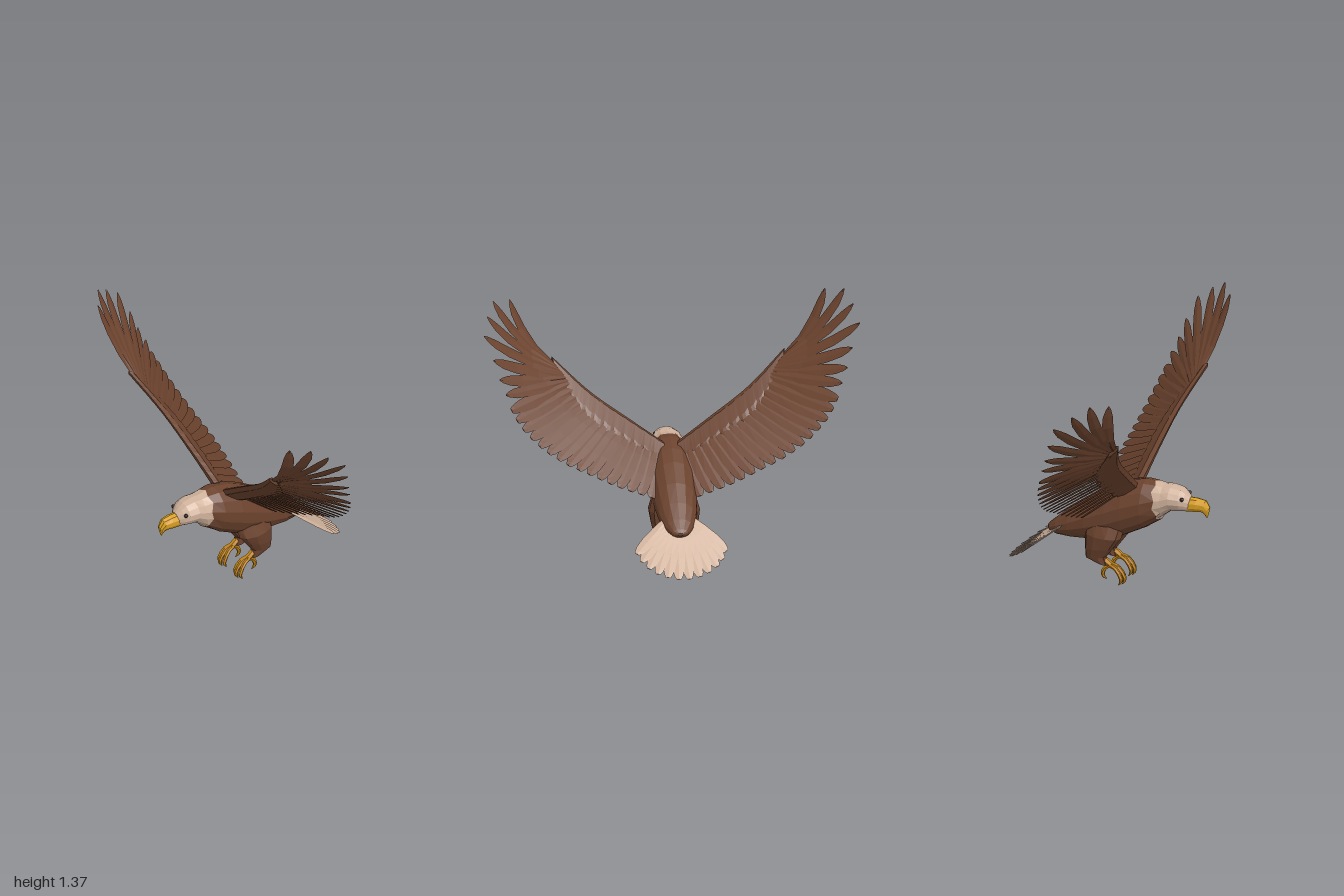
import * as THREE from 'three';
import { mergeGeometries } from 'three/addons/utils/BufferGeometryUtils.js';

const V = (x, y, z) => new THREE.Vector3(x, y, z);
const paint = (name, color) => Object.assign(new THREE.MeshStandardMaterial({ color }), { name });
const curve = (pts, side = 1) => new THREE.CatmullRomCurve3(pts.map(p => V(p[0] * side, p[1], p[2])));

// Closed, flat-faced skin through a row of rings; faces always end up pointing outward
function loft(rings) {
  const tris = [], n = rings[0].length;
  const cap = r => r.reduce((s, p) => s.add(p), V(0, 0, 0)).divideScalar(n);
  const first = rings[0], last = rings[rings.length - 1], c0 = cap(first), c1 = cap(last);
  for (let i = 0; i < n; i++) {
    const j = (i + 1) % n;
    for (let k = 0; k + 1 < rings.length; k++) {
      const a = rings[k], b = rings[k + 1];
      tris.push([a[i], a[j], b[j]], [a[i], b[j], b[i]]);
    }
    tris.push([c0, first[j], first[i]], [c1, last[i], last[j]]);
  }
  let volume = 0;
  for (const [a, b, c] of tris) volume += a.clone().sub(c0).dot(b.clone().sub(c0).cross(c.clone().sub(c0)));
  const pos = [];
  for (const [a, b, c] of tris) for (const p of volume < 0 ? [a, c, b] : [a, b, c]) pos.push(p.x, p.y, p.z);
  const g = new THREE.BufferGeometry();
  g.setAttribute('position', new THREE.Float32BufferAttribute(pos, 3));
  g.computeVertexNormals();
  return g;
}

// Elliptical ring between two points of the z-y plane, with half width w
function ring(z1, y1, z2, y2, w, cx = 0, n = 14, jag = 0) {
  return Array.from({ length: n }, (_, i) => {
    const a = i / n * Math.PI * 2, t = (1 - Math.cos(a)) / 2;
    return V(cx + Math.sin(a) * w, y1 + (y2 - y1) * t, z1 + (z2 - z1) * t + (i % 2 ? jag : -jag));
  });
}

// Tapered tube for toes and claws
function taper(pts, radii, cx) {
  const c = new THREE.CatmullRomCurve3(pts.map(p => V(...p)));
  const steps = (pts.length - 1) * 2;
  return loft(Array.from({ length: steps + 1 }, (_, k) => {
    const t = k / steps, f = t * (radii.length - 1), i = Math.min(Math.floor(f), radii.length - 2);
    const r = THREE.MathUtils.lerp(radii[i], radii[i + 1], f - i);
    const p = c.getPoint(t), u = V(1, 0, 0).cross(c.getTangent(t)).normalize();
    return Array.from({ length: 6 }, (_, q) => {
      const a = q / 6 * Math.PI * 2;
      return p.clone().addScaledVector(u, Math.sin(a) * r).add(V(cx + Math.cos(a) * r, 0, 0));
    });
  }));
}

// Thin ridged feather bent along base - ctrl - tip, slightly rolled so neighbours overlap like shingles
function feather(base, ctrl, tip, across, half, end, roll) {
  const path = new THREE.QuadraticBezierCurve3(base, ctrl, tip);
  const profile = [[0, 0.6], [0.35, 0.9], [0.65, 1], [0.85, 0.85], [0.95, (0.85 + end) / 2], [1, end]];
  return loft(profile.map(([t, w]) => {
    const p = path.getPoint(t), d = path.getTangent(t);
    const n = d.clone().cross(across).normalize(), s = n.clone().cross(d).normalize();
    s.addScaledVector(n, roll).multiplyScalar(w * half);
    const thick = 0.006 * (1 - 0.5 * t);
    return [p.clone().add(s), p.clone().addScaledVector(n, thick), p.clone().sub(s), p.clone().addScaledVector(n, -thick)];
  }));
}

const PRIMARIES = [[0.84, 1.355, 0.33], [0.935, 1.375, 0.26], [0.975, 1.32, 0.175], [1, 1.245, 0.08],
  [0.955, 1.125, 0.03], [0.925, 1.025, 0], [0.895, 0.95, -0.03]];
const SECONDARIES = [[0.868, 0.87, -0.055], [0.82, 0.785, -0.085], [0.72, 0.68, -0.115], [0.6, 0.595, -0.135],
  [0.45, 0.52, -0.145], [0.3, 0.445, -0.14], [0.13, 0.375, -0.12]];
const LEADING = [[0.04, 0.585, 0.165], [0.2, 0.7, 0.185], [0.42, 0.86, 0.22], [0.62, 1.04, 0.295]];
const COVERT_EDGE = [[0.05, 0.48, 0.07], [0.22, 0.59, 0.065], [0.42, 0.73, 0.09], [0.54, 0.85, 0.15], [0.605, 0.95, 0.22]];

function buildWing(side, material) {
  const wing = new THREE.Group();
  const lead = curve(LEADING, side), edge = curve(COVERT_EDGE, side), trail = curve(SECONDARIES, side);
  const count = 16, np = PRIMARIES.length;

  // Flight feathers, outermost first
  const tips = PRIMARIES.map(p => V(p[0] * side, p[1], p[2]));
  for (let i = 0; i < count; i++) tips.push(trail.getPointAt(i / (count - 1)));
  const feathers = tips.map((tip, i) => {
    const primary = i < np;
    const u = primary ? 0.97 - i * 0.025 : 0.8 - 0.77 * (i - np) / (count - 1);
    const base = lead.getPointAt(u).add(V(0, -0.025, -0.03));
    const across = tips[Math.min(i + 1, tips.length - 1)].clone().sub(tips[Math.max(i - 1, 0)]);
    const bow = Math.max(0, 1 - i / np);
    const ctrl = base.clone().lerp(tip, 0.5).add(V(0.05 * side * bow, -0.06 * bow, -0.015 * bow));
    return feather(base, ctrl, tip, across, primary ? 0.032 : 0.04, primary ? 0.12 : 0.35, 0.15 * side);
  });
  const flight = new THREE.Mesh(mergeGeometries(feathers), material);
  flight.name = 'flightFeathers';

  // Thick front of the wing with a ragged rear edge
  const steps = 36;
  const sections = Array.from({ length: steps + 1 }, (_, k) => {
    const t = k / steps, a = lead.getPointAt(t), b = edge.getPointAt(t);
    const chord = b.clone().sub(a);
    const n = lead.getTangentAt(t).cross(chord).normalize();
    b.addScaledVector(chord, k % 3 === 0 ? -0.05 : 0.05);
    const h = 0.02 - 0.008 * t;
    const at = (f, s) => a.clone().lerp(b, f).addScaledVector(n, s * h);
    return [a, at(0.15, 1), at(0.7, 0.8), b, at(0.7, -0.8), at(0.15, -1)];
  });
  const coverts = new THREE.Mesh(loft(sections), material);
  coverts.name = 'wingCoverts';
  wing.add(flight, coverts);
  return wing;
}

export function createModel() {
  const model = new THREE.Group();
  const brown = paint('brown plumage', 0x6c432e);
  const cream = paint('cream plumage', 0xd0b29c);
  const gold = paint('gold beak', 0xd99f22);
  const ochre = paint('ochre feet', 0xc48518);
  const dark = paint('dark eye', 0x2a1a12);
  const add = (name, geometry, material, parent = model) => {
    const m = new THREE.Mesh(geometry, material);
    m.name = name;
    parent.add(m);
    return m;
  };

  // Body and head share a jagged collar ring
  const slice = ([z, top, bottom, w]) => ring(z, top, z, bottom, w);
  const collar = ring(0.258, 0.597, 0.28, 0.385, 0.093, 0, 14, 0.008);
  add('body', loft([collar, ...[[0.2, 0.602, 0.325, 0.115], [0.09, 0.575, 0.268, 0.125], [0, 0.53, 0.235, 0.125],
    [-0.12, 0.455, 0.215, 0.115], [-0.22, 0.38, 0.21, 0.1], [-0.3, 0.315, 0.212, 0.075],
    [-0.345, 0.275, 0.228, 0.045], [-0.36, 0.258, 0.243, 0.015]].map(slice)]), brown);
  add('head', loft([...[[0.455, 0.537, 0.46, 0.032], [0.43, 0.562, 0.455, 0.056], [0.405, 0.582, 0.452, 0.073],
    [0.35, 0.592, 0.447, 0.085], [0.305, 0.59, 0.41, 0.088]].map(slice), collar]), cream);

  // Hooked beak
  add('beak', loft([[0.43, 0.535, 0.43, 0.45, 0.038], [0.49, 0.536, 0.49, 0.455, 0.035],
    [0.54, 0.528, 0.515, 0.458, 0.028], [0.563, 0.49, 0.528, 0.452, 0.019], [0.556, 0.455, 0.535, 0.443, 0.01],
    [0.547, 0.43, 0.543, 0.43, 0.003]].map(s => ring(...s, 0, 10))), gold);

  // Tail fan
  const tail = [], nTail = 12;
  for (let i = 0; i < nTail; i++) {
    const f = i / (nTail - 1) * 2 - 1, a = f * 0.7;
    const at = r => V(Math.sin(a) * r, 0.335 - 0.583 * Math.cos(a) * r, -0.19 - 0.813 * Math.cos(a) * r);
    const across = V(Math.cos(a), 0.583 * Math.sin(a), 0.813 * Math.sin(a));
    const reach = 0.455 - 0.085 * f * f;
    tail.push(feather(at(0.08), at(reach / 2 + 0.04), at(reach), across, 0.036, 0.35, 0.15));
  }
  add('tailFan', mergeGeometries(tail), cream);

  for (const side of [1, -1]) {
    const label = side > 0 ? 'left' : 'right';
    const wing = buildWing(side, brown);
    wing.name = label + 'Wing';
    model.add(wing);

    // Eye
    const eye = add(label + 'Eye', new THREE.SphereGeometry(0.011, 8, 6), dark);
    eye.position.set(0.056 * side, 0.535, 0.423);

    // Feathered thigh
    add(label + 'Thigh', loft([[0.1, 0.33, -0.1, 0.4, 0.045, 0.065], [0.085, 0.265, -0.12, 0.28, 0.058, 0.08],
      [0.04, 0.205, -0.122, 0.19, 0.05, 0.076], [0, 0.15, -0.12, 0.135, 0.038, 0.072],
      [0.005, 0.1, -0.06, 0.115, 0.026, 0.07]].map(([a, b, c, d, w, x]) => ring(a, b, c, d, w, x * side, 10))), brown);

    // Foot: ankle, three front toes and a hind toe, all ending in claws
    const cx = 0.07 * side;
    const foot = [taper([[0, 0.14, -0.02], [0, 0.115, 0.01], [0, 0.1, 0.035]], [0.016, 0.018, 0.015], cx)];
    for (const s of [-1, 0, 1]) {
      const pull = s === 0 ? 0 : -0.012;
      foot.push(taper([[s * 0.006, 0.105, 0.02], [s * 0.016, 0.093, 0.068 + pull], [s * 0.023, 0.045, 0.102 + pull],
        [s * 0.023, 0.022, 0.1 + pull], [s * 0.022, 0.003, 0.086 + pull]], [0.013, 0.012, 0.011, 0.008, 0.001], cx));
    }
    foot.push(taper([[0, 0.105, 0.02], [0, 0.08, -0.012], [0, 0.05, -0.023], [0, 0.03, -0.014], [0, 0.024, 0.002]],
      [0.013, 0.012, 0.011, 0.007, 0.001], cx));
    add(label + 'Foot', mergeGeometries(foot), ochre);
  }
  return model;
}
